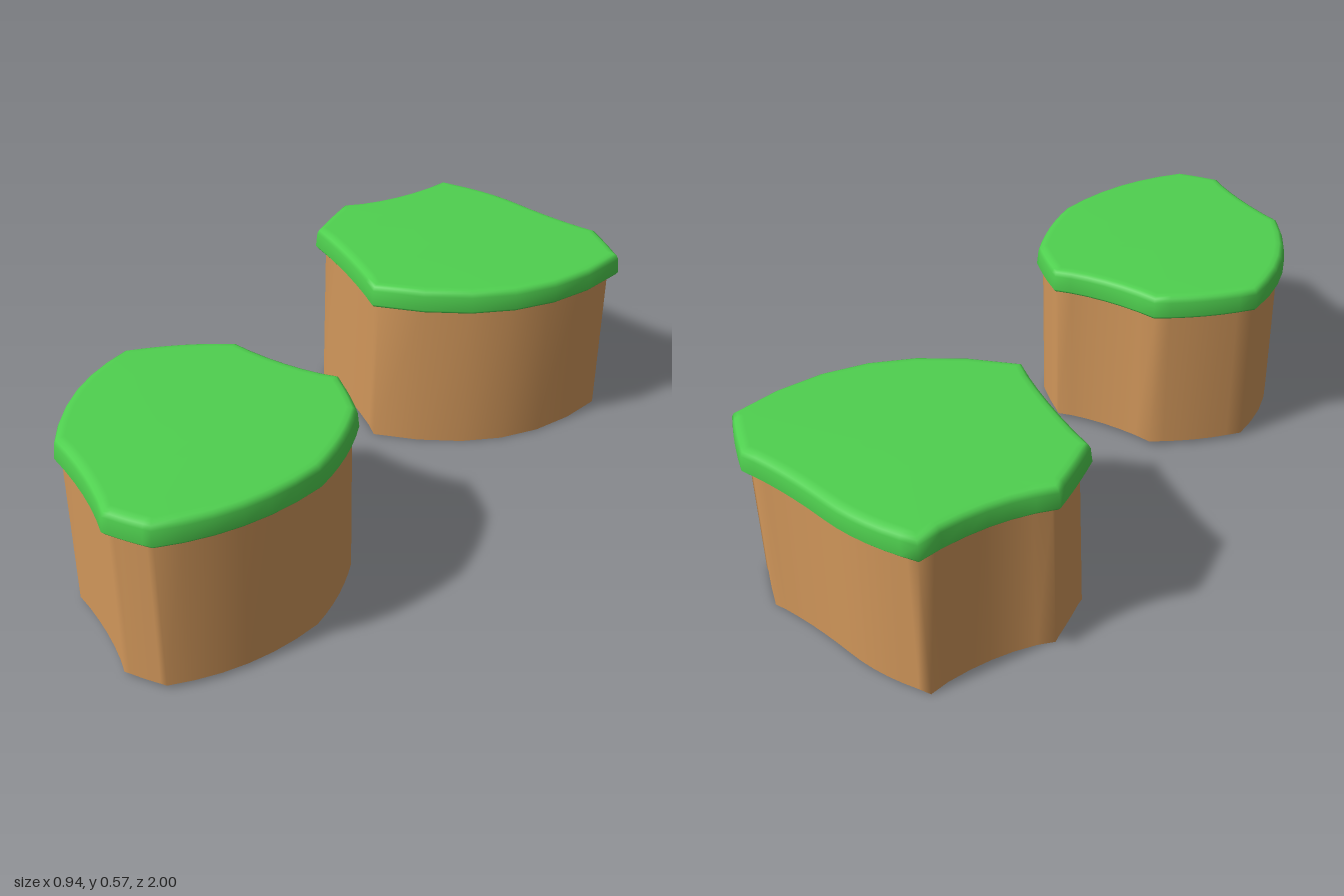
import * as THREE from 'three';

// Outline from [x, z, midX, midZ] rows: a corner and the point its curve passes halfway to the next corner
function outline(rows, steps = 6) {
  const pts = [];
  rows.forEach(([x, z, mx, mz], i) => {
    const [nx, nz] = rows[(i + 1) % rows.length];
    const curve = new THREE.QuadraticBezierCurve(
      new THREE.Vector2(x, z),
      new THREE.Vector2(2 * mx - (x + nx) / 2, 2 * mz - (z + nz) / 2),
      new THREE.Vector2(nx, nz)
    );
    for (let s = 0; s < steps; s++) pts.push(curve.getPoint(s / steps));
  });
  return pts;
}

// Move every outline point inwards along its averaged normal
function inset(pts, d) {
  const n = pts.length;
  return pts.map((p, i) => {
    const a = pts[(i + n - 1) % n], b = pts[(i + 1) % n];
    const t = p.clone().sub(a).normalize().add(b.clone().sub(p).normalize()).normalize();
    return new THREE.Vector2(p.x - t.y * d, p.y + t.x * d);
  });
}

// Skin rings of [inset, y], from bottom to top; closed adds both end faces
function loft(pts, rings, closed) {
  const n = pts.length, pos = [], index = [];
  for (const [d, y] of rings) inset(pts, d).forEach((p) => pos.push(p.x, y, p.y));
  for (let r = 0; r < rings.length - 1; r++) {
    for (let i = 0; i < n; i++) {
      const a = r * n + i, b = r * n + ((i + 1) % n);
      index.push(b, a, a + n, b, a + n, b + n);
    }
  }
  if (closed) {
    const c = pts.reduce((s, p) => s.add(p), new THREE.Vector2()).divideScalar(n);
    const last = (rings.length - 1) * n, low = rings.length * n, high = low + 1;
    pos.push(c.x, rings[0][1], c.y, c.x, rings[rings.length - 1][1], c.y);
    for (let i = 0; i < n; i++) {
      const j = (i + 1) % n;
      index.push(i, j, low, last + j, last + i, high);
    }
  }
  const g = new THREE.BufferGeometry();
  g.setAttribute('position', new THREE.Float32BufferAttribute(pos, 3));
  g.setIndex(index);
  g.computeVertexNormals();
  return g;
}

export function createModel() {
  const model = new THREE.Group();
  const grass = new THREE.MeshStandardMaterial({ color: 0x4fd04f });
  const earth = new THREE.MeshStandardMaterial({ color: 0xd0965a, side: THREE.DoubleSide });

  const islands = [
    {
      name: 'backIsland', wall: [[0.025, 0], [0.033, 0.5]],
      rows: [
        [0.24, -1.0, 0.32, -0.957], [0.395, -0.91, 0.30, -0.51],
        [-0.03, -0.225, -0.21, -0.305], [-0.41, -0.37, -0.443, -0.465],
        [-0.47, -0.56, -0.385, -0.725], [-0.345, -0.925, -0.2, -0.968],
        [-0.06, -0.98, 0.1, -0.983],
      ],
    },
    {
      name: 'frontIsland', wall: [[0.017, 0.013], [0.019, 0.5]],
      rows: [
        [0.22, 0.175, 0.295, 0.212], [0.365, 0.255, 0.43, 0.375],
        [0.47, 0.505, 0.44, 0.74], [0.34, 0.95, 0.275, 0.978],
        [0.21, 1.0, 0.065, 0.943], [-0.105, 0.905, -0.25, 0.725],
        [-0.307, 0.505, -0.215, 0.372], [-0.105, 0.26, 0.07, 0.232],
      ],
    },
  ];

  // Rounded edge of the grass slab
  const slab = [[0.035, 0.494], [0.008, 0.495], [0, 0.505], [0.005, 0.55], [0.011, 0.562], [0.02, 0.567], [0.035, 0.569]];

  for (const { name, wall, rows } of islands) {
    const island = new THREE.Group();
    island.name = name;
    const pts = outline(rows);

    // Open-bottomed earth wall
    const cliff = new THREE.Mesh(loft(pts, wall, false), earth);
    cliff.name = 'earthWall';

    const top = new THREE.Mesh(loft(pts, slab, true), grass);
    top.name = 'grassTop';

    island.add(cliff, top);
    model.add(island);
  }
  return model;
}
